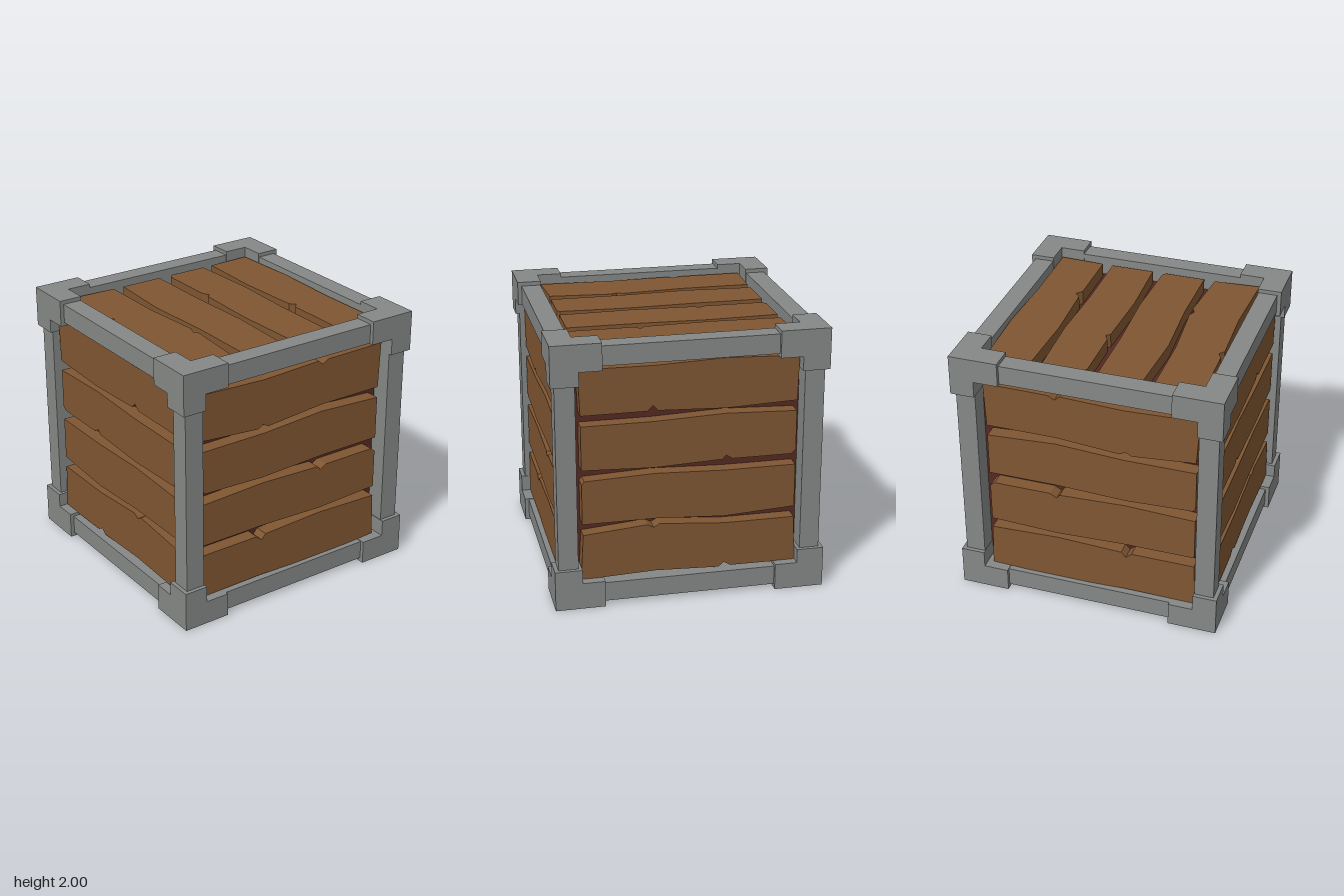
import * as THREE from 'three';

const mat = (color) => new THREE.MeshStandardMaterial({ color, flatShading: true });

// Outlines of the four worn boards of one face: [along, across] from the face centre
const BOARDS = [
  [[-0.8, 0.795], [-0.78, 0.445], [-0.31, 0.405], [-0.265, 0.43], [-0.22, 0.405], [0.26, 0.445],
    [0.785, 0.445], [0.8, 0.795], [0.31, 0.79], [0.26, 0.76], [0.22, 0.795], [-0.25, 0.775]],
  [[-0.765, 0.03], [-0.785, 0.055], [-0.785, 0.36], [-0.25, 0.36], [0.26, 0.39], [0.785, 0.36],
    [0.785, 0.03], [0.26, 0.03], [-0.26, 0.01]],
  [[-0.785, -0.385], [-0.785, -0.055], [-0.26, -0.035], [0.24, -0.055], [0.265, -0.085], [0.315, -0.055],
    [0.75, -0.055], [0.785, -0.085], [0.785, -0.385], [0.26, -0.405], [-0.26, -0.385]],
  [[-0.8, -0.805], [-0.785, -0.465], [-0.31, -0.465], [-0.265, -0.505], [-0.23, -0.465], [0.26, -0.445],
    [0.785, -0.465], [0.795, -0.8], [0.26, -0.82], [-0.26, -0.8]],
];

export function createModel() {
  const model = new THREE.Group();
  const metal = mat(0x858886), wood = mat(0x7f5632), dark = mat(0x552a22);

  // Box given by its lower and upper corner
  const box = (name, material, lo, hi, parent = model) => {
    const size = hi.map((v, i) => Math.abs(v - lo[i]));
    const mesh = new THREE.Mesh(new THREE.BoxGeometry(...size), material);
    mesh.position.set(...hi.map((v, i) => (v + lo[i]) / 2));
    mesh.name = name;
    parent.add(mesh);
  };

  // Dark inner box
  box('innerBox', dark, [-0.825, 0.175, -0.825], [0.825, 1.825, 0.825]);

  // Board faces; a and b mirror the boards along and across
  const h = Math.PI / 2, d = 0.82;
  const faces = [
    { name: 'front', pos: [-0.02, 0.985, d], rot: [0, 0, 0], a: 1, b: 1 },
    { name: 'back', pos: [-0.02, 0.985, -d], rot: [0, 2 * h, 0], a: -1, b: 1 },
    { name: 'leftSide', pos: [d, 0.99, 0], rot: [0, h, 0], a: 1, b: -1 },
    { name: 'rightSide', pos: [-d, 0.99, 0], rot: [0, -h, 0], a: -1, b: -1 },
    { name: 'top', pos: [0, 1 + d, 0], rot: [-h, 0, h], a: 1, b: 1 },
    { name: 'bottom', pos: [0, 1 - d, 0], rot: [h, 0, -h], a: 1, b: -1 },
  ];
  for (const { name, pos, rot, a, b } of faces) {
    const face = new THREE.Group();
    face.name = name + 'Boards';
    face.position.set(...pos);
    face.rotation.set(...rot);
    for (const outline of BOARDS) {
      const shape = new THREE.Shape(outline.map(([u, v]) => new THREE.Vector2(u * a, v * b)));
      const board = new THREE.Mesh(
        new THREE.ExtrudeGeometry(shape, { depth: 0.11, bevelEnabled: false }), wood);
      board.name = 'board';
      face.add(board);
    }
    model.add(face);
  }

  // Twelve edge beams
  for (const s of [-1, 1]) for (const t of [-1, 1]) {
    const [s0, s1, t0, t1] = [s * 0.825, s * 0.97, t * 0.825, t * 0.97];
    box('beamAcross', metal, [-0.7, 1 + s0, t0], [0.7, 1 + s1, t1]);
    box('beamUpright', metal, [s0, 0.25, t0], [s1, 1.75, t1]);
    box('beamDeep', metal, [s0, 1 + t0, -0.7], [s1, 1 + t1, 0.7]);
  }

  // Eight corner caps, each with three arms
  for (const x of [-1, 1]) for (const y of [-1, 1]) for (const z of [-1, 1]) {
    const cap = new THREE.Group();
    cap.name = 'cornerCap';
    const arm = (name, i, j, k) =>
      box(name, metal, [x * i, 1 + y * j, z * k], [x, 1 + y, z], cap);
    arm('armAcross', 0.635, 0.82, 0.82);
    arm('armUpright', 0.82, 0.695, 0.8);
    arm('armDeep', 0.82, 0.8, 0.635);
    model.add(cap);
  }
  return model;
}
